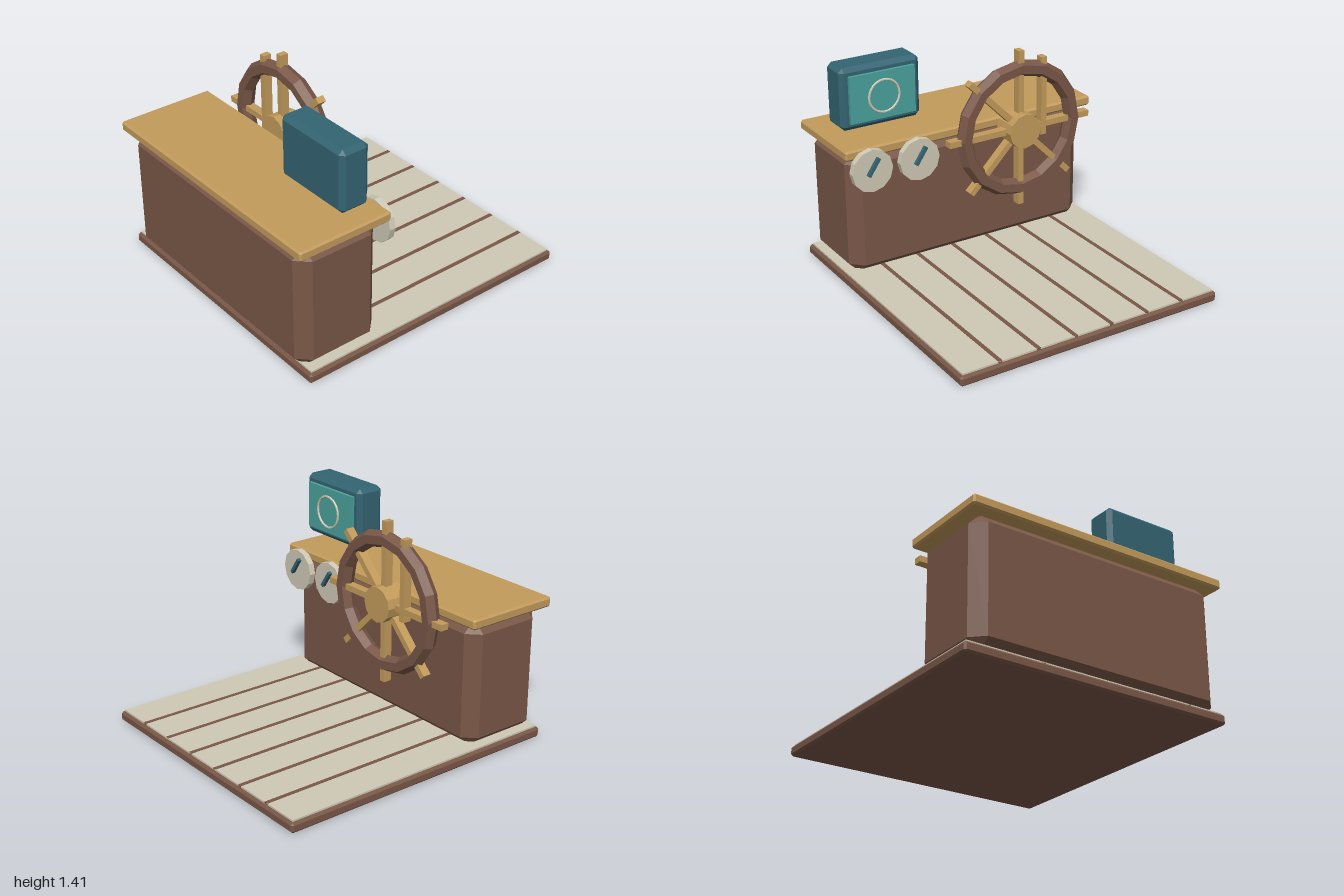
import * as THREE from 'three';
import { ConvexGeometry } from 'three/addons/geometries/ConvexGeometry.js';

const mat = (name, color) => {
  const m = new THREE.MeshStandardMaterial({ color, flatShading: true });
  m.name = name;
  return m;
};

// Box with every edge and corner cut at 45 degrees
function chamferBox(w, h, d, c) {
  const half = [w / 2, h / 2, d / 2];
  const points = [];
  for (let axis = 0; axis < 3; axis++) {
    for (const sx of [-1, 1]) for (const sy of [-1, 1]) for (const sz of [-1, 1]) {
      const s = [sx, sy, sz];
      points.push(new THREE.Vector3(...half.map((v, i) => s[i] * (i === axis ? v : v - c))));
    }
  }
  return new ConvexGeometry(points);
}

export function createModel() {
  const model = new THREE.Group();
  model.name = 'helmStation';

  const wood = mat('dark wood', 0x795747);
  const gold = mat('golden wood', 0xc39b5b);
  const cream = mat('cream', 0xcfc9b5);
  const casing = mat('dark teal', 0x346472);
  const glass = mat('screen teal', 0x4aa19c);

  const add = (name, geometry, material, x, y, z, parent = model) => {
    const mesh = new THREE.Mesh(geometry, material);
    mesh.name = name;
    mesh.position.set(x, y, z);
    parent.add(mesh);
    return mesh;
  };
  const box = (w, h, d) => new THREE.BoxGeometry(w, h, d);

  // Deck with a pale surface and plank seams
  add('deckBase', chamferBox(1.84, 0.066, 1.95, 0.014), wood, 0, 0.033, -0.025);
  add('deckSurface', box(1.8, 0.017, 1.91), cream, 0, 0.0685, -0.025);
  for (let i = 0; i < 6; i++) {
    add('plankSeam', box(0.027, 0.014, 1.91), wood, -0.65 + i * 0.26, 0.072, -0.025);
  }

  // Console
  add('consoleCabinet', chamferBox(1.73, 0.845, 0.575, 0.08), wood, 0, 0.4575, 0.6775);
  add('consoleTop', chamferBox(1.81, 0.066, 0.645, 0.012), gold, 0, 0.897, 0.6775);

  // Steering wheel
  const wheel = new THREE.Group();
  wheel.name = 'steeringWheel';
  wheel.position.set(-0.26, 0.883, 0.23);
  model.add(wheel);
  add('wheelRim', new THREE.TorusGeometry(0.405, 0.055, 6, 16), wood, 0, 0, 0, wheel);
  const hub = new THREE.CylinderGeometry(0.115, 0.115, 0.16, 12).rotateX(Math.PI / 2);
  add('wheelHub', hub, gold, 0, 0, 0, wheel);
  const length = 0.525;
  for (let i = 0; i < 8; i++) {
    if (i === 3) continue;
    const a = (i * Math.PI) / 4;
    const spoke = add('wheelSpoke', box(length, 0.04, 0.056), gold,
      (Math.cos(a) * length) / 2, (Math.sin(a) * length) / 2, 0, wheel);
    spoke.rotation.z = a;
  }
  // One spoke stands upright beside the centre
  add('uprightSpoke', box(0.04, length, 0.056), gold, -0.172, 0.19, 0, wheel);

  // Gauges on the back of the console
  for (const x of [0.42, 0.75]) {
    const dial = new THREE.CylinderGeometry(0.14, 0.14, 0.042, 12).rotateX(Math.PI / 2);
    add('gaugeDial', dial, cream, x, 0.79, 0.33);
    const needle = add('gaugeNeedle', box(0.022, 0.13, 0.026), casing, x, 0.82, 0.297);
    needle.rotation.z = 0.6;
  }

  // Display
  add('displayCasing', chamferBox(0.55, 0.405, 0.2, 0.028), casing, 0.585, 1.208, 0.578);
  add('displayScreen', box(0.45, 0.305, 0.024), glass, 0.585, 1.208, 0.468);
  add('displayRing', new THREE.TorusGeometry(0.105, 0.0075, 6, 24), cream, 0.585, 1.208, 0.44);

  return model;
}
